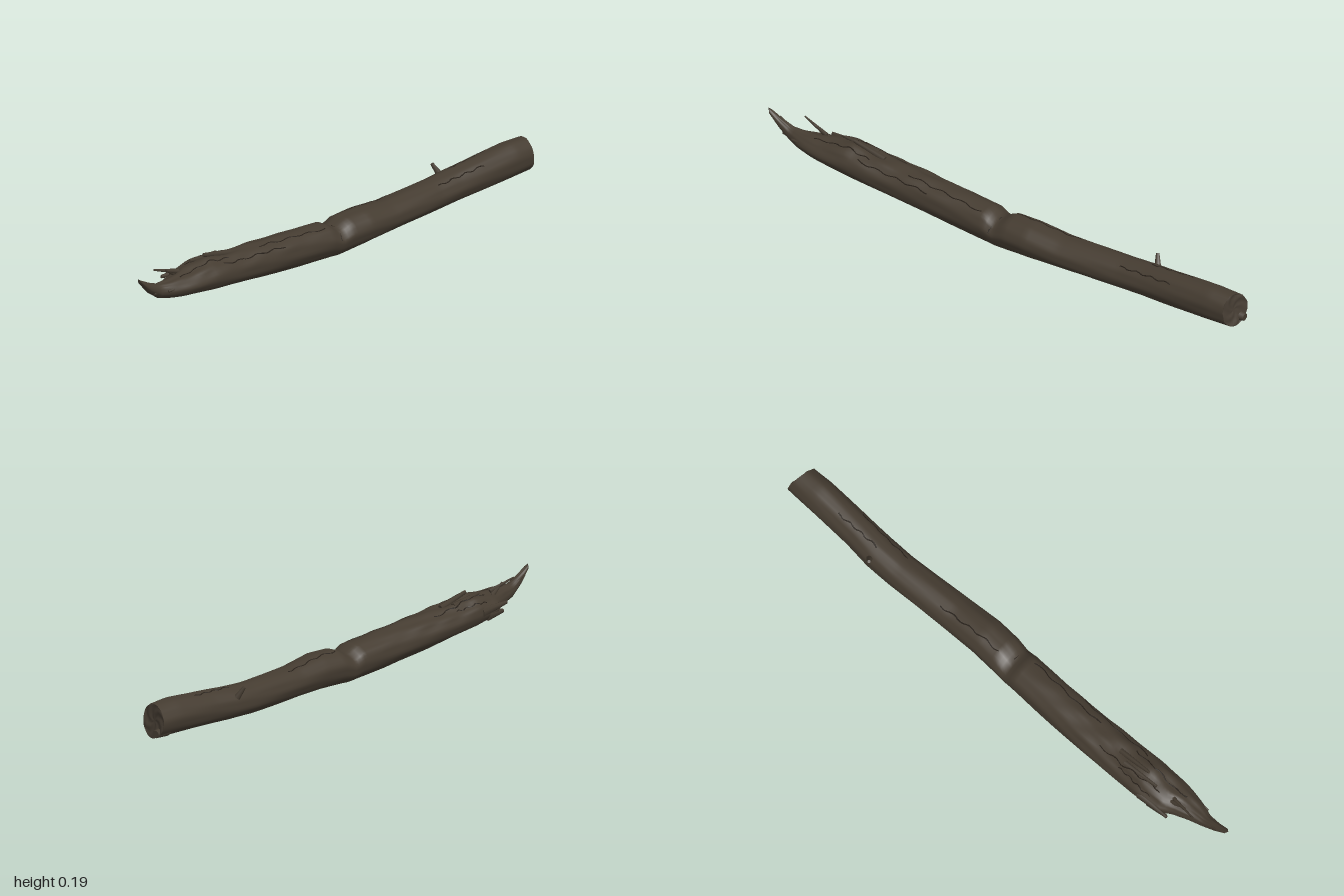
import * as THREE from 'three';

// Trunk stations: x, bottom y, top y, back z, front z
const STATIONS = [
  [-0.99, 0.168, 0.182, -0.008, 0.012],
  [-0.95, 0.125, 0.162, -0.014, 0.016],
  [-0.9, 0.092, 0.142, -0.022, 0.024],
  [-0.85, 0.08, 0.142, -0.034, 0.042],
  [-0.79, 0.07, 0.145, -0.055, 0.055],
  [-0.75, 0.064, 0.15, -0.08, 0.06],
  [-0.65, 0.05, 0.165, -0.088, 0.065],
  [-0.55, 0.043, 0.153, -0.086, 0.066],
  [-0.4, 0.028, 0.148, -0.081, 0.065],
  [-0.2, 0.012, 0.14, -0.072, 0.068],
  [-0.06, 0.006, 0.132, -0.065, 0.074],
  [-0.02, 0.004, 0.108, -0.062, 0.074],
  [0.03, 0.006, 0.134, -0.06, 0.08],
  [0.12, 0.011, 0.138, -0.056, 0.085],
  [0.25, 0.016, 0.126, -0.055, 0.078],
  [0.5, 0.02, 0.13, -0.06, 0.065],
  [0.6, 0.025, 0.138, -0.06, 0.066],
  [0.7, 0.03, 0.148, -0.05, 0.07],
  [0.88, 0.038, 0.164, -0.043, 0.076],
  [0.96, 0.042, 0.162, -0.038, 0.074],
];
const SIDES = 40, RINGS = 130;

function station(x) {
  let i = 0;
  while (i < STATIONS.length - 2 && x > STATIONS[i + 1][0]) i++;
  const a = STATIONS[i], b = STATIONS[i + 1];
  const t = THREE.MathUtils.clamp((x - a[0]) / (b[0] - a[0]), 0, 1);
  return a.map((v, k) => THREE.MathUtils.lerp(v, b[k], t));
}

// Point on the bark at length x and angle a (0 = front, PI/2 = top)
function bark(x, a, scale = 1) {
  const [, y0, y1, z0, z1] = station(x);
  const ry = (y1 - y0) / 2, rz = (z1 - z0) / 2;
  const rough = THREE.MathUtils.smoothstep(-x, -0.1, 0.7) * Math.max(0, Math.sin(a));
  const grain = 0.018 * Math.sin(3 * a + 5 * x) + 0.012 * Math.sin(7 * a - 9 * x + 1)
    + 0.01 * Math.sin(11 * a + 14 * x)
    + rough * (0.05 * Math.sin(9 * a + 17 * x) + 0.04 * Math.sin(5 * a - 41 * x));
  const r = scale * (1 + grain);
  const y = (y0 + y1) / 2 + ry * r * Math.sin(a);
  const z = (z0 + z1) / 2 + rz * r * Math.cos(a);
  // the sawn end slants towards the lower back
  const slant = THREE.MathUtils.smoothstep(x, 0.85, 0.96);
  return new THREE.Vector3(x + slant * (0.008 - 0.22 * (z - 0.018) - 0.1 * (y - 0.1)), y, z);
}

// Smooth surface through a list of closed rings, with a pointed or capped finish
function loft(rings, tip) {
  const n = rings[0].length, pos = [], index = [];
  rings.forEach(r => r.forEach(p => pos.push(p.x, p.y, p.z)));
  for (let i = 0; i < rings.length - 1; i++)
    for (let j = 0; j < n; j++) {
      const k = (j + 1) % n, a = i * n + j, b = a + n, c = i * n + k, d = c + n;
      index.push(a, b, c, c, b, d);
    }
  if (tip) {
    const t = pos.length / 3, base = tip.start ? 0 : (rings.length - 1) * n;
    pos.push(tip.point.x, tip.point.y, tip.point.z);
    for (let j = 0; j < n; j++) {
      const k = (j + 1) % n;
      index.push(t, ...(tip.start ? [base + j, base + k] : [base + k, base + j]));
    }
  }
  const g = new THREE.BufferGeometry();
  g.setAttribute('position', new THREE.Float32BufferAttribute(pos, 3));
  g.setIndex(index);
  g.computeVertexNormals();
  return g;
}

const ring = (x, scale) => Array.from({ length: SIDES }, (_, j) => bark(x, j / SIDES * Math.PI * 2, scale));

// Tapered shard between two points
function shard(from, to, radius, tipRadius, flat = 1) {
  const a = new THREE.Vector3(...from), b = new THREE.Vector3(...to);
  const d = b.clone().sub(a);
  const g = new THREE.CylinderGeometry(tipRadius, radius, d.length(), 7, 3);
  g.scale(1, 1, flat);
  g.applyQuaternion(new THREE.Quaternion().setFromUnitVectors(new THREE.Vector3(0, 1, 0), d.normalize()));
  return g.translate((a.x + b.x) / 2, (a.y + b.y) / 2, (a.z + b.z) / 2);
}

export function createModel() {
  const group = new THREE.Group();
  const material = (name, color) => {
    const m = new THREE.MeshStandardMaterial({ color });
    m.name = name;
    return m;
  };
  const wood = material('barkBrown', 0x453c31);
  const endWood = material('endWood', 0x463d33);
  const dark = material('crackBrown', 0x28211a);
  const add = (name, geometry, mat) => {
    const mesh = new THREE.Mesh(geometry, mat);
    mesh.name = name;
    group.add(mesh);
  };

  // Trunk
  const rings = Array.from({ length: RINGS + 1 }, (_, i) => ring(-0.99 + 1.95 * i / RINGS, 1));
  add('trunk', loft(rings, { start: true, point: new THREE.Vector3(-1, 0.188, 0.002) }), wood);

  // Sawn end, slightly dished with a worn rim
  const face = [1, 0.9, 0.7, 0.45, 0.2].map((s, i) => ring(0.96, s).map((p, j) => {
    p.x += i ? 0.004 * Math.sin(j * 0.8 + i * 2) * s - 0.006 * (1 - s) : 0;
    return p;
  }));
  const centre = bark(0.96, 0, 0);
  centre.x -= 0.006;
  add('sawnEnd', loft(face, { point: centre }), endWood);
  add('endSplinter', shard([0.93, 0.068, -0.008], [0.99, 0.066, -0.01], 0.022, 0.014), wood);

  // Splinters of the broken end
  const splinters = [
    [[-0.9, 0.12, -0.005], [-0.96, 0.16, -0.012], 0.014, 0.003],
    [[-0.77, 0.148, -0.02], [-0.875, 0.177, -0.038], 0.009, 0.003],
    [[-0.77, 0.135, -0.03], [-0.83, 0.168, -0.026], 0.011, 0.003],
    [[-0.66, 0.11, -0.076], [-0.79, 0.118, -0.08], 0.02, 0.006],
    [[-0.7, 0.09, -0.07], [-0.78, 0.088, -0.07], 0.02, 0.008],
    [[-0.52, 0.146, -0.01], [-0.65, 0.175, -0.012], 0.014, 0.007],
    [[-0.56, 0.145, -0.035], [-0.7, 0.163, -0.03], 0.016, 0.006],
    [[-0.74, 0.115, 0.035], [-0.88, 0.118, 0.034], 0.022, 0.004],
    [[-0.8, 0.11, 0.012], [-0.93, 0.118, 0.014], 0.024, 0.005],
  ];
  splinters.forEach(([a, b, r, t]) => add('splinter', shard(a, b, r, t, 0.75), wood));

  // Twig stub on the back
  add('twigStub', shard([0.6, 0.11, -0.045], [0.585, 0.148, -0.066], 0.012, 0.006), wood);

  // Cracks in the bark: start x, end x, start angle, end angle
  const cracks = [
    [-0.8, -0.56, 1.3, 1.1], [-0.72, -0.45, 1.9, 2.1], [-0.6, -0.3, 0.8, 0.7],
    [-0.7, -0.55, 2.5, 2.3], [-0.4, -0.08, 1.2, 1.0], [-0.03, -0.015, 0.3, 1.5],
    [0.04, 0.3, 1.9, 2.0], [0.5, 0.72, 0.9, 0.8], [0.6, 0.78, 1.7, 1.9],
  ];
  cracks.forEach(([x0, x1, a0, a1], c) => {
    const points = Array.from({ length: 14 }, (_, i) => {
      const t = i / 13;
      return bark(x0 + (x1 - x0) * t, a0 + (a1 - a0) * t + 0.06 * Math.sin(i * 1.7 + c), 0.985);
    });
    add('crack', new THREE.TubeGeometry(new THREE.CatmullRomCurve3(points), 40, 0.0025, 5), dark);
  });

  // Stand on y = 0
  const box = new THREE.Box3().setFromObject(group);
  group.children.forEach(m => m.geometry.translate(0, -box.min.y, 0));
  return group;
}
